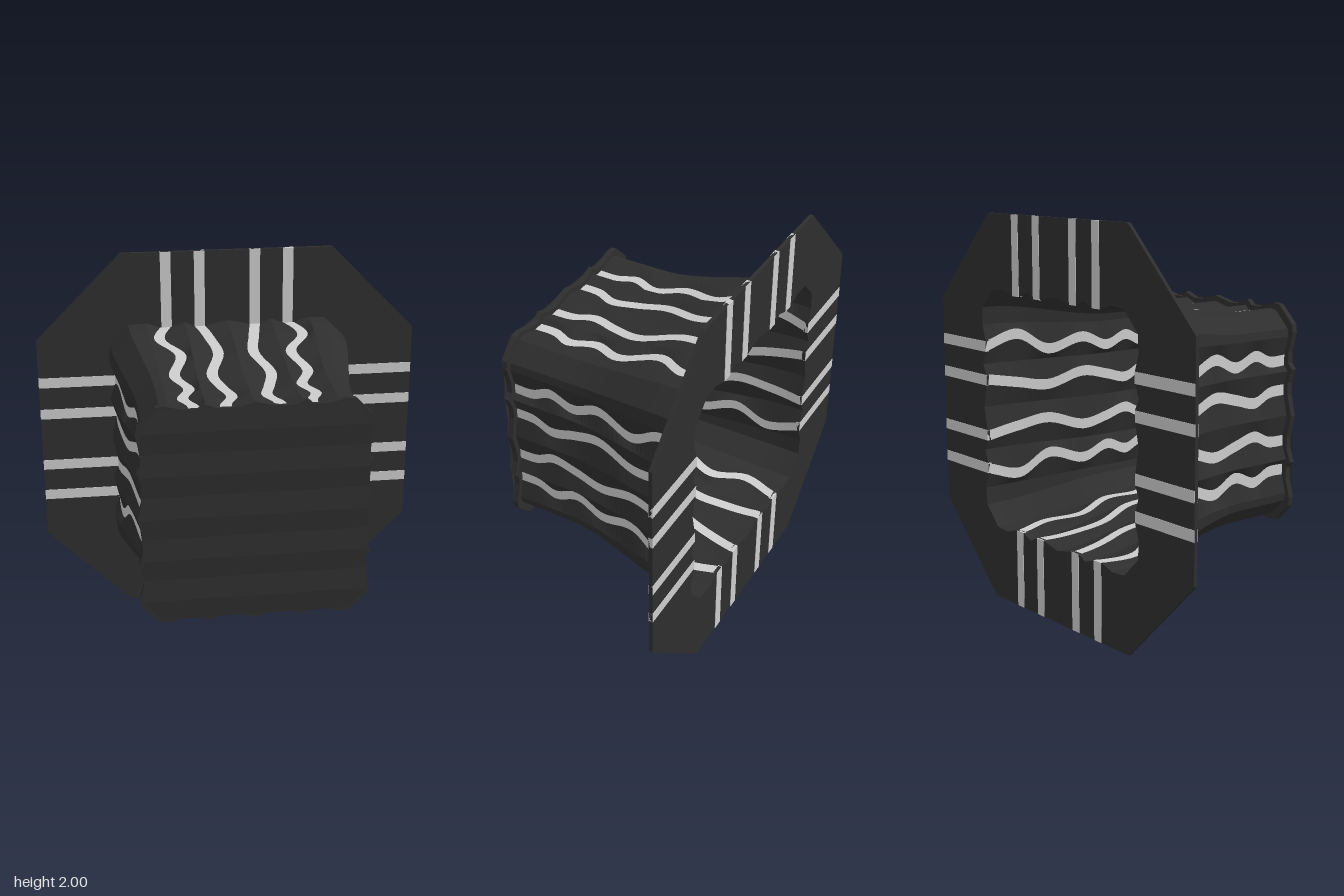
import * as THREE from 'three';

const dark = new THREE.MeshStandardMaterial({ color: 0x2e2e2e, side: THREE.DoubleSide, flatShading: true });
const light = new THREE.MeshStandardMaterial({ color: 0xbcbcbc, side: THREE.DoubleSide, flatShading: true });

const FRONT = 0.51, BACK = -0.53, STRIPE = 0.0275;

// Outer and inner wavy stripe positions at stations along the depth: (outer, inner, z)
const wave = new THREE.CatmullRomCurve3([
  [0.28, 0.13, FRONT], [0.28, 0.125, 0.4], [0.318, 0.085, 0.3], [0.275, 0.115, 0.17],
  [0.33, 0.145, 0.02], [0.28, 0.09, -0.18], [0.37, 0.115, -0.35], [0.325, 0.147, BACK],
].map(p => new THREE.Vector3(...p)));

// Half size of the crown at depth z
const radius = z => 0.53 + 0.095 * THREE.MathUtils.smoothstep(-z, -0.2, 0.5);

// One side of the crown: [position along the side, distance from the axis]
function sideProfile(outer, inner, z) {
  const r = radius(z), t = (r - 0.53) / 0.095, low = r - 0.025;
  const half = [
    [0.225, r], [outer - STRIPE, low], [outer + STRIPE, low],
    [0.4 + 0.03 * t, r], [0.44 + 0.08 * t, r - 0.006],
  ];
  const in2 = [[inner - STRIPE, low], [inner + STRIPE, low]];
  const right = [...in2, ...half];
  return [...right.map(([u, d]) => [-u, d]).reverse(), [0, r], ...right];
}

// Turn a side profile by quarter turns; the sides run clockwise seen from the front
function section(outer, inner, z) {
  const pts = [];
  for (let k = 0; k < 4; k++) {
    const c = Math.cos(k * Math.PI / 2), s = Math.sin(k * Math.PI / 2);
    for (const [u, d] of sideProfile(outer, inner, z)) {
      pts.push(new THREE.Vector3(u * c + d * s, -u * s + d * c, z));
    }
  }
  return pts;
}

function triangleMesh(name, positions, material) {
  const g = new THREE.BufferGeometry();
  g.setAttribute('position', new THREE.Float32BufferAttribute(positions, 3));
  g.computeVertexNormals();
  const m = new THREE.Mesh(g, material);
  m.name = name;
  return m;
}

function addQuad(out, a, b, c, d) {
  for (const p of [a, b, c, a, c, d]) out.push(p.x, p.y, p.z);
}

function octagon(size, cut) {
  return [[size, -cut], [size, cut], [cut, size], [-cut, size],
    [-size, cut], [-size, -cut], [-cut, -size], [cut, -size]].map(p => new THREE.Vector2(...p));
}

export function createModel() {
  const group = new THREE.Group();
  const body = new THREE.Group();
  body.position.y = 1;
  group.add(body);

  // Hollow ribbed crown, with the wavy stripes lying in its valleys
  const rings = wave.getPoints(49).map(p => section(p.x, p.y, p.z));
  const walls = [], stripes = [];
  const n = rings[0].length, perSide = n / 4;
  const stripeColumns = [1, 2 + 1, 2 + 1 + 1, 0]; // placeholder order, resolved below
  stripeColumns.splice(0, 4, 2, 5, 7, 10);
  // Columns per side: edge, ridge, stripe pair, ridge, stripe pair, centre ridge, then mirrored.
  stripeColumns.splice(0, 4, ...[2, 5, 8, 11].filter(i => i < perSide - 1));
  const order = sideOrder(rings[0].slice(0, perSide));
  for (let j = 0; j < rings.length - 1; j++) {
    for (let i = 0; i < n; i++) {
      const k = (i + 1) % n;
      const target = order.has(i % perSide) ? stripes : walls;
      addQuad(target, rings[j][i], rings[j + 1][i], rings[j + 1][k], rings[j][k]);
    }
  }
  body.add(triangleMesh('crownWalls', walls, dark), triangleMesh('crownStripes', stripes, light));

  // Octagonal brim, its hole following the crown
  const shape = new THREE.Shape(octagon(1, 0.55));
  shape.holes.push(new THREE.Path(rings.at(-1).map(p => new THREE.Vector2(p.x, p.y))));
  const brim = new THREE.Mesh(new THREE.ExtrudeGeometry(shape, { depth: 0.018, bevelEnabled: false }), dark);
  brim.name = 'brim';
  brim.position.z = -0.543;
  body.add(brim);

  // Straight brim stripes on all four sides
  for (let k = 0; k < 4; k++) {
    const side = new THREE.Group();
    side.name = 'brimStripes';
    side.rotation.z = k * Math.PI / 2;
    for (const x of [-0.32, -0.145, 0.145, 0.32]) {
      const stripe = new THREE.Mesh(new THREE.BoxGeometry(2 * STRIPE, 0.4, 0.022), light);
      stripe.name = 'brimStripe';
      stripe.position.set(x, 0.8, -0.534);
      side.add(stripe);
    }
    body.add(side);
  }

  // Overhanging notched end plate
  const plate = new THREE.Shape(rings[0].map(p => new THREE.Vector2(p.x * 1.055, p.y * 1.055)));
  const end = new THREE.Mesh(new THREE.ExtrudeGeometry(plate, { depth: 0.03, bevelEnabled: false }), dark);
  end.name = 'endPlate';
  end.position.z = 0.5;
  body.add(end);

  // Shallow horizontal ribs across the end plate
  const ribs = [], rows = [];
  for (let i = 0; i <= 10; i++) {
    const y = -0.54 + i * 0.108;
    const w = Math.min(0.54, 0.54 + 0.46 - Math.abs(y));
    rows.push([y, w, i % 2 ? 0.543 : 0.533]);
  }
  for (let i = 0; i < 10; i++) {
    const [y0, w0, z0] = rows[i], [y1, w1, z1] = rows[i + 1];
    addQuad(ribs, new THREE.Vector3(-w0, y0, z0), new THREE.Vector3(w0, y0, z0),
      new THREE.Vector3(w1, y1, z1), new THREE.Vector3(-w1, y1, z1));
  }
  body.add(triangleMesh('endRibs', ribs, dark));
  return group;
}

// Columns whose two corners both lie in the same narrow valley are stripes
function sideOrder(points) {
  const found = new Set();
  for (let i = 0; i < points.length - 1; i++) {
    const a = points[i], b = points[i + 1];
    if (Math.abs(a.y - b.y) < 1e-6 && b.x - a.x < 2.1 * STRIPE) found.add(i);
  }
  return found;
}
